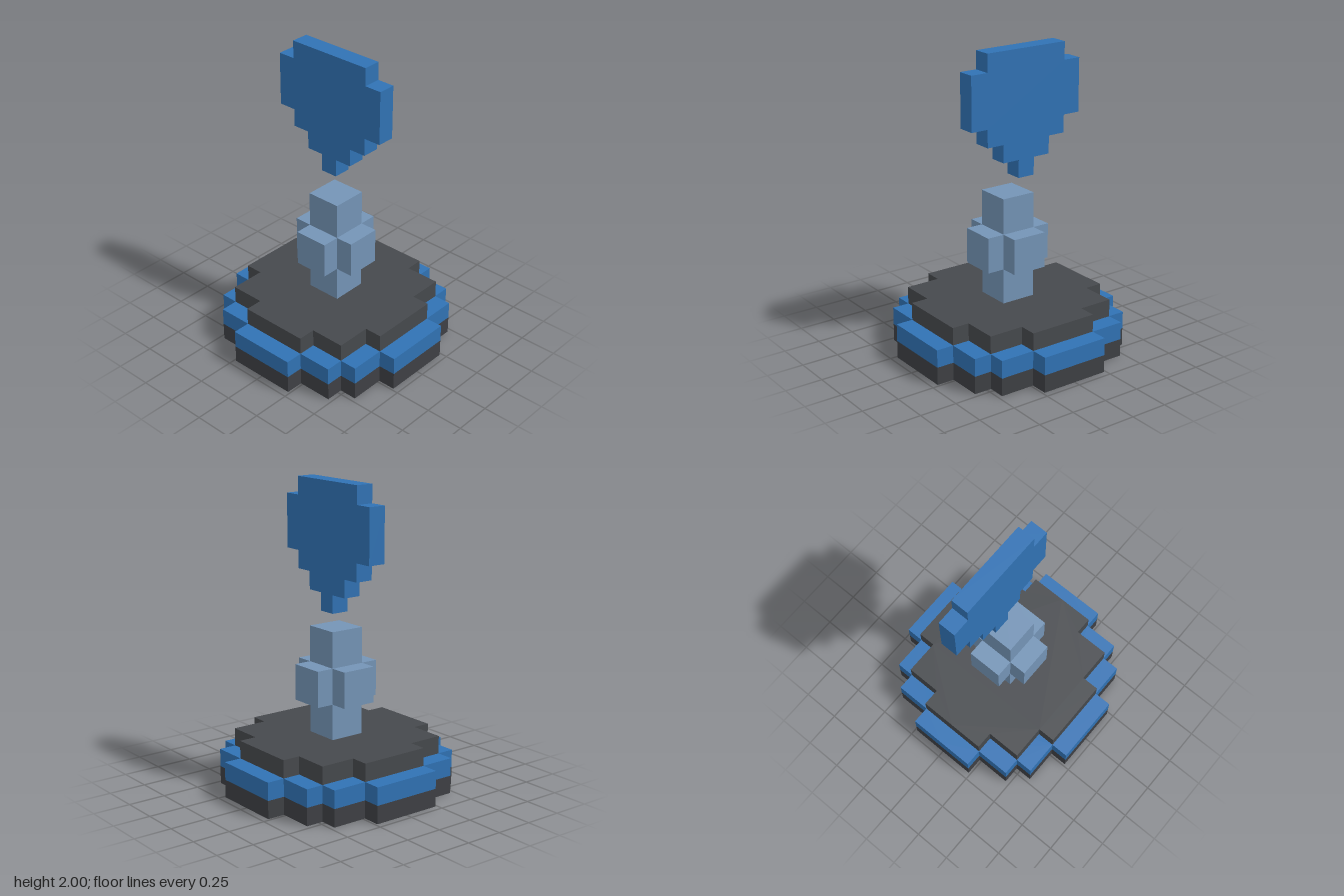
import * as THREE from 'three';

const U = 2 / 17; // one block; the model is 17 blocks tall

const paint = (color) => new THREE.MeshStandardMaterial({ color, flatShading: true });
const blue = paint(0x3072b4);
const steel = paint(0x7494b6);
const slate = paint(0x46494d);
const charcoal = paint(0x3e4044);

// Stepped outline from rows of [bottom, top, left, right], listed bottom to top
function steppedShape(rows) {
  const points = [];
  for (const [bottom, top, , right] of rows) points.push([right, bottom], [right, top]);
  for (const [bottom, top, left] of [...rows].reverse()) points.push([left, top], [left, bottom]);
  return new THREE.Shape(points.map(([x, y]) => new THREE.Vector2(x * U, y * U)));
}

function slab(name, rows, thickness, material) {
  const geometry = new THREE.ExtrudeGeometry(steppedShape(rows), { depth: thickness * U, bevelEnabled: false });
  const mesh = new THREE.Mesh(geometry, material);
  mesh.name = name;
  return mesh;
}

// Symmetric blocky disc; steps are [half width, half depth] from the outside in
function disc(name, steps, y, material) {
  const upper = steps.map(([w, d], i) => [i ? steps[i - 1][1] : 0, d, -w, w]);
  const lower = upper.map(([a, b, l, r]) => [-b, -a, l, r]).reverse();
  const mesh = slab(name, [...lower, ...upper], 1, material);
  mesh.rotation.x = -Math.PI / 2;
  mesh.position.y = y * U;
  return mesh;
}

function block(name, w, h, d, x, y, z, material) {
  const mesh = new THREE.Mesh(new THREE.BoxGeometry(w * U, h * U, d * U), material);
  mesh.name = name;
  mesh.position.set(x * U, y * U, z * U);
  return mesh;
}

export function createModel() {
  const model = new THREE.Group();
  model.name = 'floatingMarkerOnPedestal';

  // Round stepped base in three layers
  const wide = [[6, 2], [5, 4], [4, 5], [2, 6]];
  const narrow = [[5, 2], [4, 4], [2, 5]];
  model.add(
    disc('baseBottom', wide, 0, charcoal),
    disc('baseBand', wide, 1, blue),
    disc('baseTop', narrow, 2, slate),
  );

  // Column with a block on each of its four sides
  model.add(block('column', 2, 6, 2, 0, 6, 0, steel));
  for (const s of [-1, 1]) {
    model.add(
      block(s > 0 ? 'leftArm' : 'rightArm', 1, 2, 2, 1.5 * s, 6, 0, steel),
      block(s > 0 ? 'frontArm' : 'backArm', 2, 2, 1, 0, 6, 1.5 * s, steel),
    );
  }

  // Flat floating marker, one block thick and offset from the centre
  const marker = slab('floatingMarker', [
    [10, 11, -1, 0], [11, 12, -2, 1], [12, 13, -3, 2], [13, 16, -4, 3], [16, 17, -3, 2],
  ], 1, blue);
  marker.position.z = -U;
  model.add(marker);

  return model;
}
